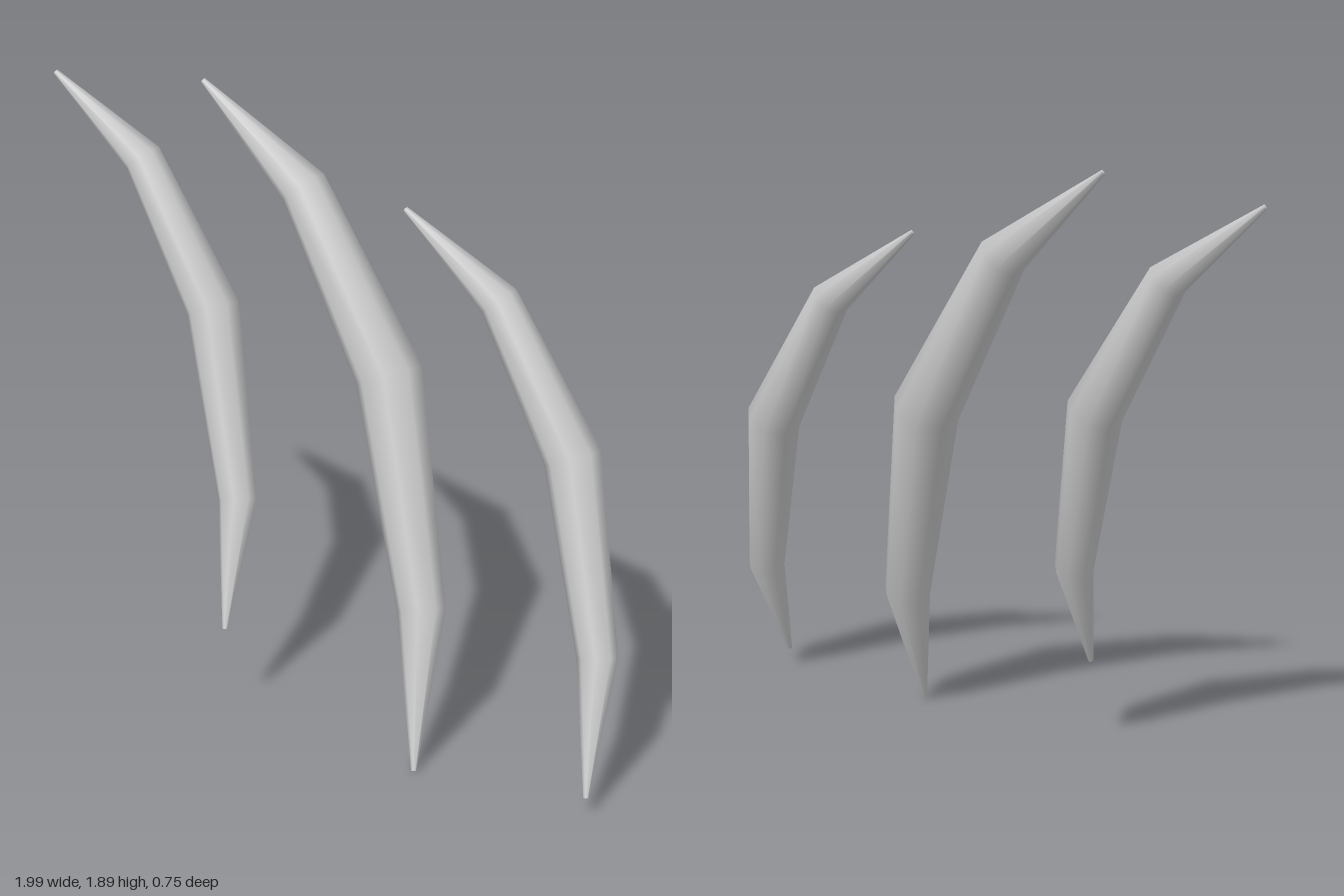
import * as THREE from 'three';

const SIDES = 8;

// Sweeps an octagonal section of varying radius along a bent centre line.
function clawGeometry(path, radii) {
  const points = path.map((p) => new THREE.Vector3(...p));
  const last = points.length - 1;
  const positions = [];
  const index = [];
  let rings = 0;

  const addRing = (i, radius) => {
    const tangent = points[Math.min(i + 1, last)].clone()
      .sub(points[Math.max(i - 1, 0)]).normalize();
    const normal = new THREE.Vector3(0, 0, 1);
    normal.addScaledVector(tangent, -normal.dot(tangent)).normalize();
    const binormal = tangent.clone().cross(normal);
    for (let j = 0; j < SIDES; j++) {
      const a = (j / SIDES) * Math.PI * 2;
      const p = points[i].clone()
        .addScaledVector(normal, Math.cos(a) * radius)
        .addScaledVector(binormal, Math.sin(a) * radius);
      positions.push(p.x, p.y, p.z);
    }
    rings++;
  };

  addRing(0, 0); // closed upper tip
  radii.forEach((radius, i) => addRing(i, radius));
  addRing(last, 0); // closed lower tip

  for (let i = 0; i < rings - 1; i++) {
    for (let j = 0; j < SIDES; j++) {
      const k = (j + 1) % SIDES;
      const a = i * SIDES + j, b = i * SIDES + k;
      const c = a + SIDES, d = b + SIDES;
      if (i > 0) index.push(a, b, c);
      if (i < rings - 2) index.push(b, d, c);
    }
  }

  const geometry = new THREE.BufferGeometry();
  geometry.setAttribute('position', new THREE.Float32BufferAttribute(positions, 3));
  geometry.setIndex(index);
  geometry.computeVertexNormals();
  return geometry;
}

export function createModel() {
  const group = new THREE.Group();
  group.name = 'clawSlashes';
  const paleGrey = new THREE.MeshStandardMaterial({ color: 0xcccccc });
  paleGrey.name = 'paleGrey';

  // Centre lines run from upper tip to lower tip.
  const slashes = [
    {
      name: 'rightSlash',
      path: [[-0.99, 1.84, 0.37], [-0.73, 1.605, 0.235], [-0.475, 1.18, 0.165],
        [-0.262, 0.64, 0.235], [-0.15, 0.287, 0.37]],
      radii: [0.008, 0.06, 0.083, 0.06, 0.008],
    },
    {
      name: 'middleSlash',
      path: [[-0.53, 1.88, 0.147], [-0.22, 1.6, 0.01], [0.095, 1.085, -0.065],
        [0.345, 0.435, 0.007], [0.488, 0.004, 0.147]],
      radii: [0.008, 0.073, 0.102, 0.073, 0.008],
    },
    {
      name: 'leftSlash',
      path: [[0.145, 1.612, -0.082], [0.405, 1.375, -0.22], [0.662, 0.953, -0.29],
        [0.87, 0.415, -0.22], [0.99, 0.058, -0.082]],
      radii: [0.008, 0.06, 0.085, 0.06, 0.008],
    },
  ];

  for (const { name, path, radii } of slashes) {
    const mesh = new THREE.Mesh(clawGeometry(path, radii), paleGrey);
    mesh.name = name;
    group.add(mesh);
  }
  return group;
}
